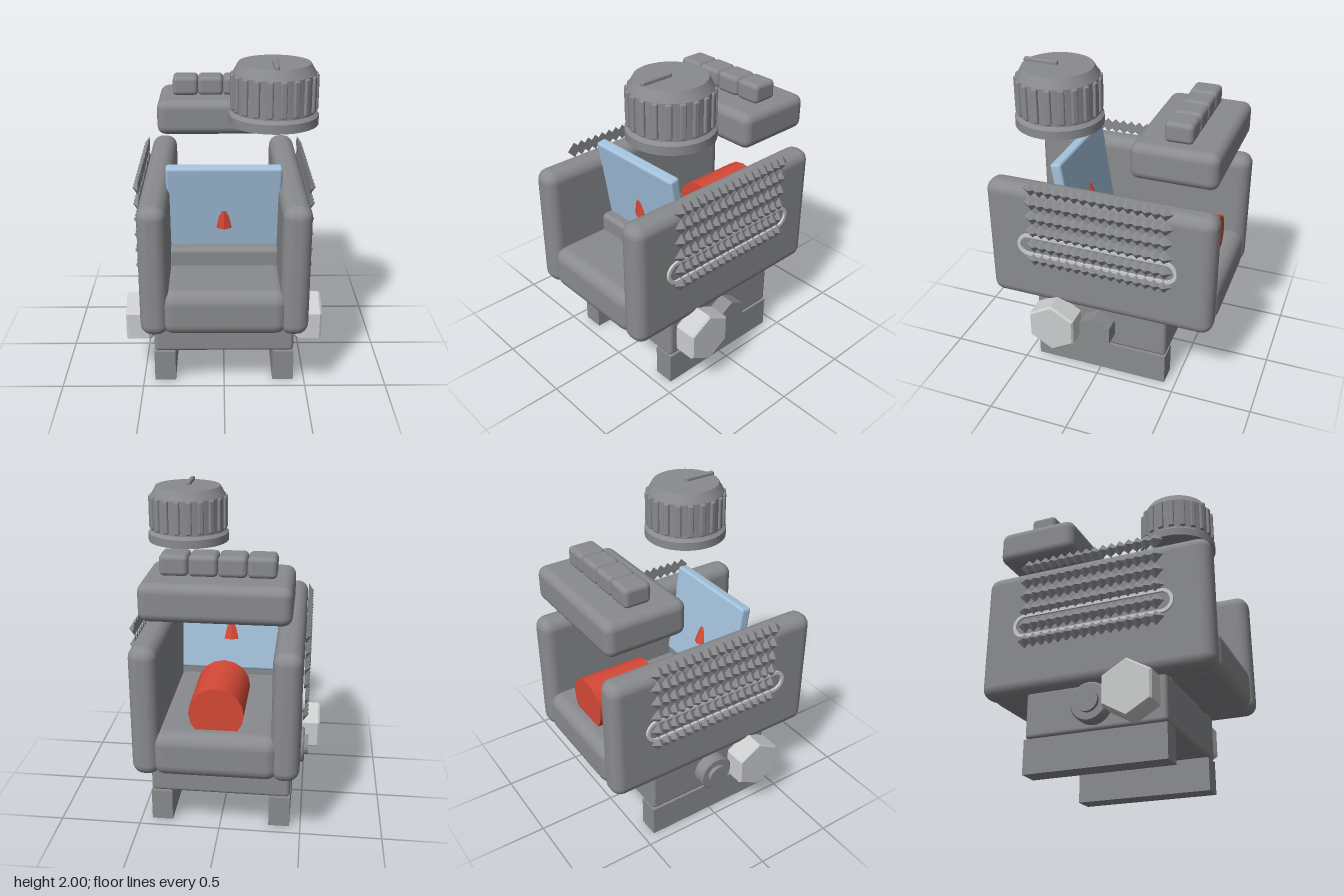
import * as THREE from 'three';
import { mergeGeometries, toCreasedNormals } from 'three/addons/utils/BufferGeometryUtils.js';
import { RoundedBoxGeometry } from 'three/addons/geometries/RoundedBoxGeometry.js';

const material = (name, color) => {
  const m = new THREE.MeshStandardMaterial({ color });
  m.name = name;
  return m;
};

export function createModel() {
  const grey = material('housing grey', 0x8a8b8e);
  const silver = material('silver', 0xcbcdce);
  const blue = material('lens blue', 0xa4c2dd);
  const red = material('red', 0xd64937);
  const model = new THREE.Group();

  const add = (name, geometry, mat, x = 0, y = 0, z = 0, parent = model) => {
    const mesh = new THREE.Mesh(geometry, mat);
    mesh.name = name;
    mesh.position.set(x, y, z);
    parent.add(mesh);
    return mesh;
  };
  // Box given by its limits, with rounded edges when r > 0
  const block = (name, mat, [x0, x1], [y0, y1], [z0, z1], r = 0) => {
    const size = [x1 - x0, y1 - y0, z1 - z0];
    const geo = r ? new RoundedBoxGeometry(...size, 3, r) : new THREE.BoxGeometry(...size);
    return add(name, geo, mat, (x0 + x1) / 2, (y0 + y1) / 2, (z0 + z1) / 2);
  };
  // Lathed solid with sharp creases; points run from bottom to top
  const lathe = (points, sides, turn = 0) => {
    const geo = new THREE.LatheGeometry(points.map(p => new THREE.Vector2(...p)), sides);
    return toCreasedNormals(geo.rotateY(turn), 0.5);
  };

  // Housing: floor, lens holder, base
  block('floor', grey, [-0.37, 0.37], [0.47, 0.75], [-0.718, 0.712], 0.08);
  block('lensHolder', grey, [-0.34, 0.34], [0.6, 0.86], [0.19, 0.335], 0.03);
  block('base', grey, [-0.43, 0.43], [0.205, 0.49], [-0.43, 0.43], 0.025);

  // Top block and its four buttons
  block('topBlock', grey, [-0.42, 0.42], [1.41, 1.63], [-0.69, -0.177], 0.055);
  for (let i = 0; i < 4; i++) {
    const x = -0.325 + i * 0.1625;
    block('button', grey, [x, x + 0.1625], [1.625, 1.747], [-0.518, -0.35], 0.028);
  }

  // Leaning lens with its marker
  const lens = new THREE.Group();
  lens.name = 'lens';
  lens.position.set(0, 1.08, 0.262);
  lens.rotation.x = 0.157;
  model.add(lens);
  add('lensPlate', new RoundedBoxGeometry(0.68, 0.6, 0.07, 3, 0.018), blue, 0, 0, 0, lens);
  const marker = new THREE.CylinderGeometry(0.037, 0.058, 0.112, 8);
  marker.scale(1, 1, 1.1);
  add('marker', toCreasedNormals(marker, 0.5), red, 0, -0.04, 0, lens);

  // Emitter lying on the floor
  const emitter = new THREE.CylinderGeometry(0.16, 0.16, 0.42, 16).rotateX(Math.PI / 2);
  add('emitter', toCreasedNormals(emitter, 0.5), red, 0, 0.85, -0.41);

  // Slot-shaped trim outline
  const stadium = (target, half, r) => {
    target.absarc(half, 0, r, -Math.PI / 2, Math.PI / 2, false);
    target.absarc(-half, 0, r, Math.PI / 2, Math.PI * 1.5, false);
    target.closePath();
    return target;
  };
  const slot = stadium(new THREE.Shape(), 0.43, 0.075);
  slot.holes.push(stadium(new THREE.Path(), 0.43, 0.055));

  // Parts on both sides
  for (const s of [-1, 1]) {
    const span = (a, b) => (s > 0 ? [a, b] : [-b, -a]);
    const outward = -s * Math.PI / 2;
    block('sideWall', grey, span(0.32, 0.486), [0.47, 1.267], [-0.718, 0.716], 0.07);
    block('rail', grey, span(0.302, 0.432), [0, 0.202], [-0.43, 0.43]);

    // Grip of overlapping pyramids
    const studs = [];
    for (let row = 0; row < 6; row++) {
      for (let col = 0; col < 16; col++) {
        const stud = new THREE.ConeGeometry(0.05, 0.034, 4).toNonIndexed();
        stud.computeVertexNormals();
        stud.rotateZ(outward);
        stud.translate(0, 0.79 + row * 0.098, -0.425 + col * 0.055);
        studs.push(stud);
      }
    }
    add('gripStuds', mergeGeometries(studs), grey, s * 0.509);

    const trim = new THREE.ExtrudeGeometry(slot, { depth: 0.02, bevelEnabled: false, curveSegments: 12 });
    trim.translate(0, 0, -0.01).rotateY(s * Math.PI / 2);
    add('slotTrim', trim, silver, s * 0.49, 0.885, 0);

    // Large hexagonal clamp nut
    const nut = lathe([[0, 0], [0.148, 0], [0.167, 0.02], [0.167, 0.145], [0.155, 0.158], [0, 0.158]], 6, Math.PI / 6);
    add('clampNut', nut.rotateZ(outward), silver, s * 0.443, 0.365, 0.26);
    const shaft = new THREE.CylinderGeometry(0.065, 0.065, 0.06, 20).rotateZ(outward);
    add('clampShaft', shaft, grey, s * 0.43, 0.36, 0.26);
  }

  // Cross bolt: hexagonal head on the left, round nut on the right
  const head = lathe([[0, 0], [0.113, 0], [0.113, 0.11], [0, 0.11]], 6, Math.PI / 6);
  add('boltHead', head.rotateZ(-Math.PI / 2), grey, 0.423, 0.35, 0);
  const roundNut = lathe([[0, 0], [0.115, 0], [0.115, 0.07], [0.105, 0.08], [0.065, 0.08], [0.065, 0.105], [0, 0.105]], 28);
  add('roundNut', roundNut.rotateZ(Math.PI / 2), grey, -0.425, 0.35, 0);

  // Ribbed knob with a pointer
  const knob = new THREE.Group();
  knob.name = 'knob';
  knob.position.set(0.282, 1.635, 0.285);
  model.add(knob);
  const profile = [[0, 0], [0.256, 0], [0.256, 0.052], [0.236, 0.07], [0.236, 0.285], [0.204, 0.343], [0, 0.343]];
  add('knobBody', lathe(profile, 32), grey, 0, 0, 0, knob);
  for (let i = 0; i < 20; i++) {
    const a = (i + 0.5) * Math.PI / 10;
    const rib = add('knobRib', new RoundedBoxGeometry(0.038, 0.205, 0.03, 2, 0.01), grey,
      Math.sin(a) * 0.235, 0.182, Math.cos(a) * 0.235, knob);
    rib.rotation.y = a;
  }
  add('pointer', new RoundedBoxGeometry(0.03, 0.04, 0.205, 2, 0.01), grey, 0, 0.345, 0.103, knob);

  return model;
}
